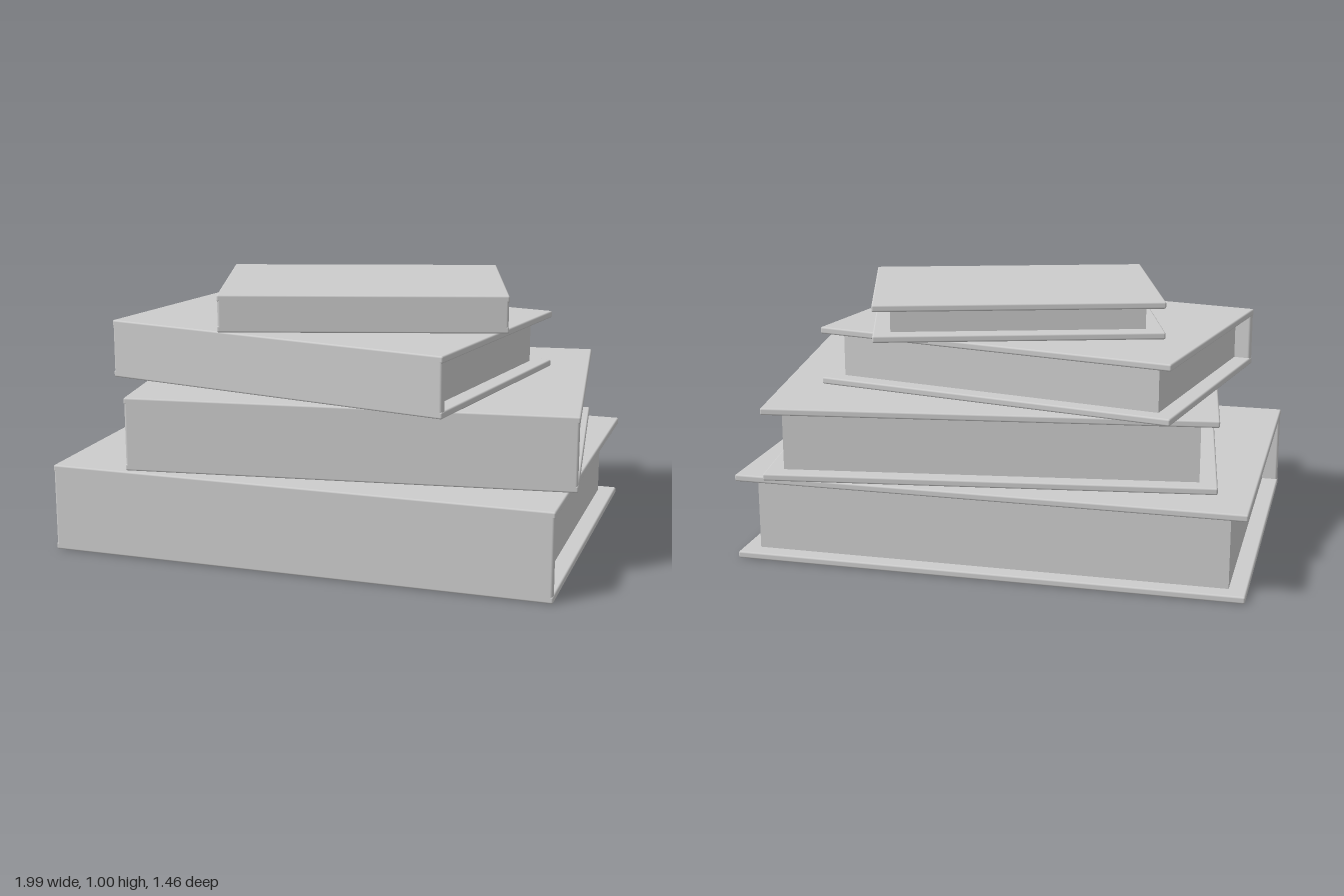
import * as THREE from 'three';
import { RoundedBoxGeometry } from 'three/addons/geometries/RoundedBoxGeometry.js';

const COVER = 0.027; // board thickness
const SPINE = 0.034; // spine thickness
const INSET = 0.067; // how far the pages sit inside the boards

// Width, depth, bottom, top, centre x, centre z, turn
const BOOKS = [
  ['bottomBook', 1.96, 1.42, 0, 0.34, -0.02, 0.02, 0],
  ['secondBook', 1.71, 1.225, 0.34, 0.625, 0.063, -0.01, 0.138],
  ['thirdBook', 1.45, 1.03, 0.625, 0.855, -0.085, 0.028, -0.19],
  ['topBook', 1.107, 0.78, 0.855, 1.0, 0.02, -0.022, 0.293],
];

function addPart(group, name, geometry, material, y, z) {
  const mesh = new THREE.Mesh(geometry, material);
  mesh.name = name;
  mesh.position.set(0, y, z);
  group.add(mesh);
}

// A closed hardback lying flat, spine facing +z
function makeBook(name, w, d, h, material) {
  const book = new THREE.Group();
  book.name = name;

  // Boards with softened edges
  const board = new RoundedBoxGeometry(w, COVER, d, 3, 0.007);
  addPart(book, 'lowerCover', board, material, COVER / 2, 0);
  addPart(book, 'upperCover', board, material, h - COVER / 2, 0);

  // Spine, rounded along its long edges and flush with the boards
  const spine = new RoundedBoxGeometry(w - 0.004, h - 0.004, SPINE, 3, 0.01);
  addPart(book, 'spine', spine, material, h / 2, d / 2 - SPINE / 2);

  // Page block, set back on the three open sides
  const pageDepth = d - INSET - SPINE + 0.01;
  const pages = new THREE.BoxGeometry(w - 2 * INSET, h - 2 * COVER + 0.004, pageDepth);
  addPart(book, 'pages', pages, material, h / 2, -d / 2 + INSET + pageDepth / 2);
  return book;
}

export function createModel() {
  const model = new THREE.Group();
  model.name = 'bookStack';
  const grey = new THREE.MeshStandardMaterial({ color: 0xcccccc });
  grey.name = 'light grey';

  for (const [name, w, d, y0, y1, x, z, turn] of BOOKS) {
    const book = makeBook(name, w, d, y1 - y0, grey);
    book.position.set(x, y0, z);
    book.rotation.y = turn;
    model.add(book);
  }
  return model;
}
